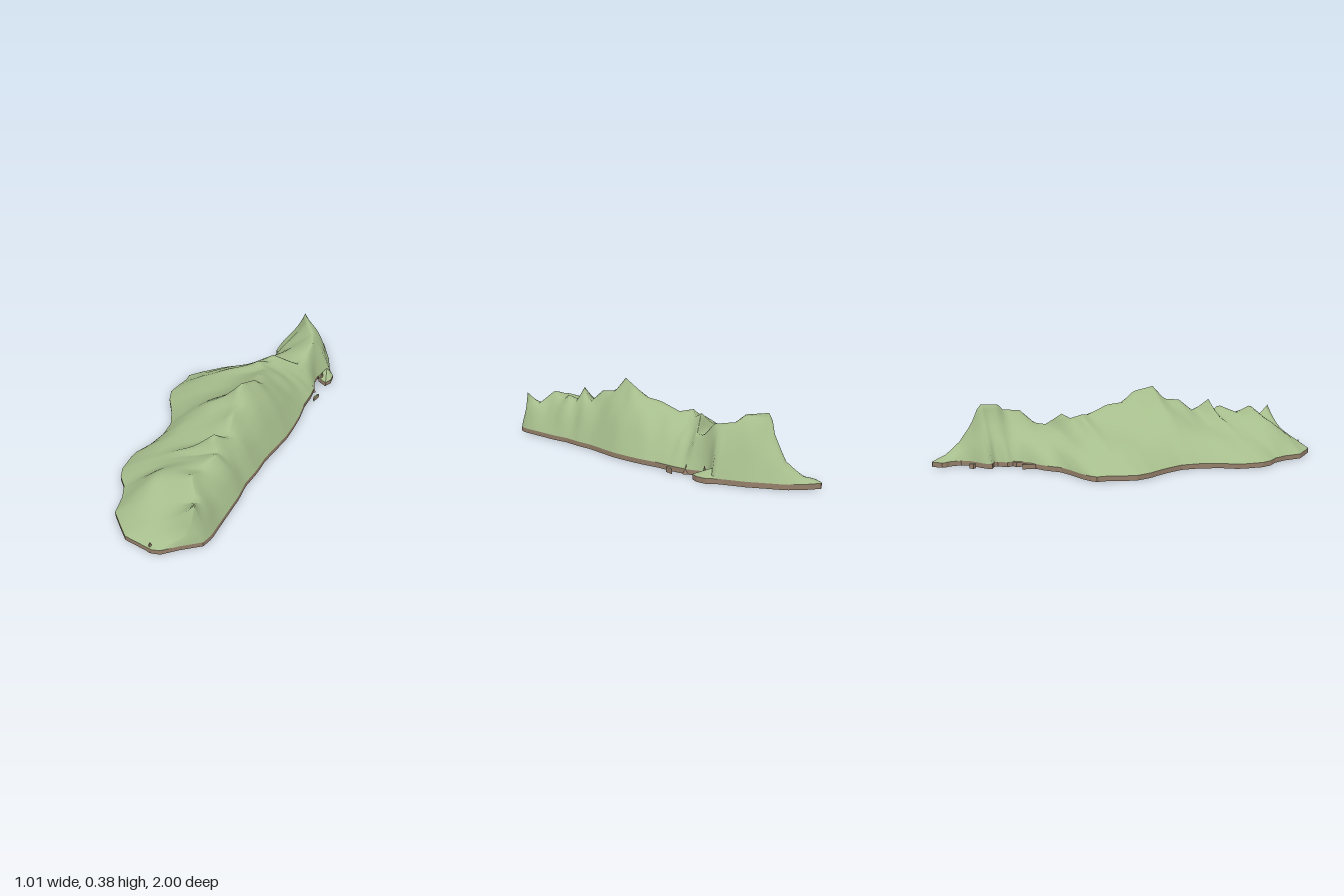
import * as THREE from 'three';

const BASE = 0.025; // thickness of the rock slab

// [z, x] along the two coasts, north to south
const WEST = [[-1, .325], [-.97, .29], [-.95, .275], [-.92, .29], [-.86, .285], [-.82, .25], [-.79, .2],
  [-.77, .15], [-.74, .135], [-.72, .17], [-.7, .17], [-.66, .13], [-.62, .14], [-.58, .1], [-.56, .06],
  [-.54, .02], [-.52, -.02], [-.5, -.05], [-.46, -.1], [-.44, -.17], [-.42, -.27], [-.39, -.35], [-.33, -.36],
  [-.27, -.39], [-.2, -.42], [-.12, -.41], [-.05, -.385], [0, -.37], [.1, -.35], [.2, -.37], [.3, -.42],
  [.36, -.47], [.4, -.485], [.5, -.505], [.56, -.495], [.62, -.46], [.7, -.445], [.8, -.45], [.88, -.4], [.94, -.36],
  [.97, -.29], [1, -.22]];
const EAST = [[-1, .335], [-.95, .38], [-.87, .43], [-.8, .445], [-.7, .47], [-.6, .48], [-.54, .49], [-.52, .45],
  [-.5, .415], [-.46, .4], [-.38, .405], [-.3, .39], [-.2, .36], [-.1, .345], [0, .32], [.1, .29], [.2, .245],
  [.3, .2], [.4, .17], [.5, .13], [.6, .11], [.7, .08], [.8, .05], [.87, .03], [.92, 0], [.96, -.1], [1, -.18]];
// [z, x, height] along the main ridge
const RIDGE = [[-1, .33, .025], [-.92, .35, .05], [-.84, .35, .11], [-.78, .33, .22], [-.75, .3, .312], [-.64, .33, .3],
  [-.6, .36, .265], [-.5, .37, .25], [-.43, .33, .18], [-.38, .29, .175], [-.34, .16, .25], [-.3, .14, .225],
  [-.26, .08, .25], [-.2, .12, .24], [-.09, .12, .285], [0, .1, .295], [.07, .11, .35], [.16, .05, .38],
  [.23, .04, .305], [.32, .03, .295], [.41, .02, .225], [.48, -.03, .295], [.52, -.01, .22], [.57, 0, .25],
  [.65, -.07, .21], [.73, -.09, .25], [.82, -.05, .17], [.9, -.04, .23], [.93, -.06, .08], [.97, -.15, .04], [1, -.2, .025]];
// Relative height from coast (0) to ridge (1); one stretch of the south-west is a plateau
const WEST_SLOPE = [[0, 0], [.1, .15], [.3, .38], [.5, .54], [.75, .74], [1, 1]];
const WEST_PLATEAU = [[0, 0], [.25, .44], [.47, .82], [.74, .93], [1, 1]];
const EAST_SLOPE = [[0, 0], [.15, .22], [.35, .5], [.55, .71], [.8, .9], [1, 1]];

// Linear lookup in a table sorted by its first column
function lookup(table, k, col = 1) {
  for (let i = 1; i < table.length; i++) {
    const a = table[i - 1], b = table[i];
    if (k <= b[0]) return a[col] + (b[col] - a[col]) * (k - a[0]) / (b[0] - a[0]);
  }
  return table[table.length - 1][col];
}

const ROWS = Array.from({ length: 101 }, (_, i) => Math.round(-100 + i * 2) / 100);

// Flat slab from an outline of [x, z] points
function slab(points) {
  const shape = new THREE.Shape(points.map(([x, z]) => new THREE.Vector2(x, -z)));
  return new THREE.ExtrudeGeometry(shape, { depth: BASE, bevelEnabled: false }).rotateX(-Math.PI / 2);
}

// Ridge height averaged along z, so that summits stay narrow and the slopes below run smooth
function softRidge(z, top) {
  let sum = 0;
  for (let k = -2; k <= 2; k++) sum += lookup(RIDGE, THREE.MathUtils.clamp(z + k * .035, -1, 1), 2) - BASE;
  return Math.min(sum / 5, top * 1.25);
}

// Mountain surface: every row runs west coast - ridge - east coast
function terrainGeometry() {
  const W = 14, E = 12, cols = W + E + 1, pos = [], index = [];
  ROWS.forEach((z, i) => {
    const w = lookup(WEST, z), e = lookup(EAST, z), r = lookup(RIDGE, z);
    const top = lookup(RIDGE, z, 2) - BASE, soft = softRidge(z, top);
    const plateau = Math.exp(-(((z - .7) / .11) ** 2));
    for (let j = 0; j < cols; j++) {
      const west = j <= W;
      const t = west ? j / W : (cols - 1 - j) / E;
      const x = west ? w + (r - w) * t : e + (r - e) * t;
      const fold = west
        ? .05 * Math.sin(z * 14 + x * 6) + .04 * Math.sin(x * 22 - z * 12)
        : .06 * Math.sin(z * 32 + x * 10);
      const slope = west
        ? THREE.MathUtils.lerp(lookup(WEST_SLOPE, t), lookup(WEST_PLATEAU, t), plateau)
        : lookup(EAST_SLOPE, t);
      const height = soft + (top - soft) * t ** (west ? 3 : 2);
      pos.push(x, BASE + height * slope * (1 + fold * Math.sin(Math.PI * t)), z);
      if (i < ROWS.length - 1 && j < cols - 1) {
        const a = i * cols + j, b = a + cols;
        index.push(a, b, a + 1, a + 1, b, b + 1);
      }
    }
  });
  const g = new THREE.BufferGeometry();
  g.setAttribute('position', new THREE.Float32BufferAttribute(pos, 3));
  g.setIndex(index);
  g.computeVertexNormals();
  return g;
}

// Small hill: triangles from the outline up to one summit
function hillGeometry(points, summit) {
  const pos = [];
  points.forEach(([x, z], i) => {
    const [x2, z2] = points[(i + 1) % points.length];
    pos.push(...summit, x, BASE, z, x2, BASE, z2);
  });
  const g = new THREE.BufferGeometry();
  g.setAttribute('position', new THREE.Float32BufferAttribute(pos, 3));
  g.computeVertexNormals();
  return g;
}

export function createModel() {
  const group = new THREE.Group();
  const grass = new THREE.MeshStandardMaterial({ color: 0xa6bd8c, side: THREE.DoubleSide });
  grass.name = 'grass green';
  const rock = new THREE.MeshStandardMaterial({ color: 0x957f6a });
  rock.name = 'rock brown';
  const add = (name, geometry, material) => {
    const mesh = new THREE.Mesh(geometry, material);
    mesh.name = name;
    group.add(mesh);
    return mesh;
  };

  // Main island
  const coast = [...ROWS.map(z => [lookup(WEST, z), z]), ...ROWS.map(z => [lookup(EAST, z), z]).reverse()];
  add('islandBase', slab(coast), rock);
  add('mountains', terrainGeometry(), grass);

  // Eastern peninsula
  const cape = [[.465, -.435], [.495, -.47], [.505, -.52], [.485, -.57], [.43, -.54], [.42, -.49], [.44, -.46]];
  add('peninsulaBase', slab(cape), rock);
  add('peninsulaHill', hillGeometry(cape, [.465, .065, -.53]), grass);

  // Islets off the coasts
  const islets = [
    [[.19, -.81], [.205, -.82], [.2, -.84], [.18, -.825]],
    [[.41, -.27], [.435, -.315], [.425, -.31], [.405, -.28]],
  ];
  for (const points of islets) {
    add('isletBase', slab(points), rock);
    add('isletTop', hillGeometry(points, [points[0][0], BASE + .004, points[0][1] - .015]), grass);
  }

  // Bare rock flats in the north-western bays
  add('rockFlat', slab([[.025, -.51], [.06, -.53], [.07, -.6], [.05, -.61], [.03, -.55]]), rock);
  add('rockFlat', slab([[.1, -.57], [.14, -.59], [.14, -.63], [.11, -.62]]), rock);

  // Rocky points along the shore: x, z, height
  for (const [x, z, h] of [[-.23, .98, .05], [-.11, .945, .047], [.44, -.485, .065], [.395, -.37, .045]]) {
    const crag = add('shoreCrag', new THREE.ConeGeometry(.02, h, 5), rock);
    crag.position.set(x, h / 2, z);
  }
  return group;
}
